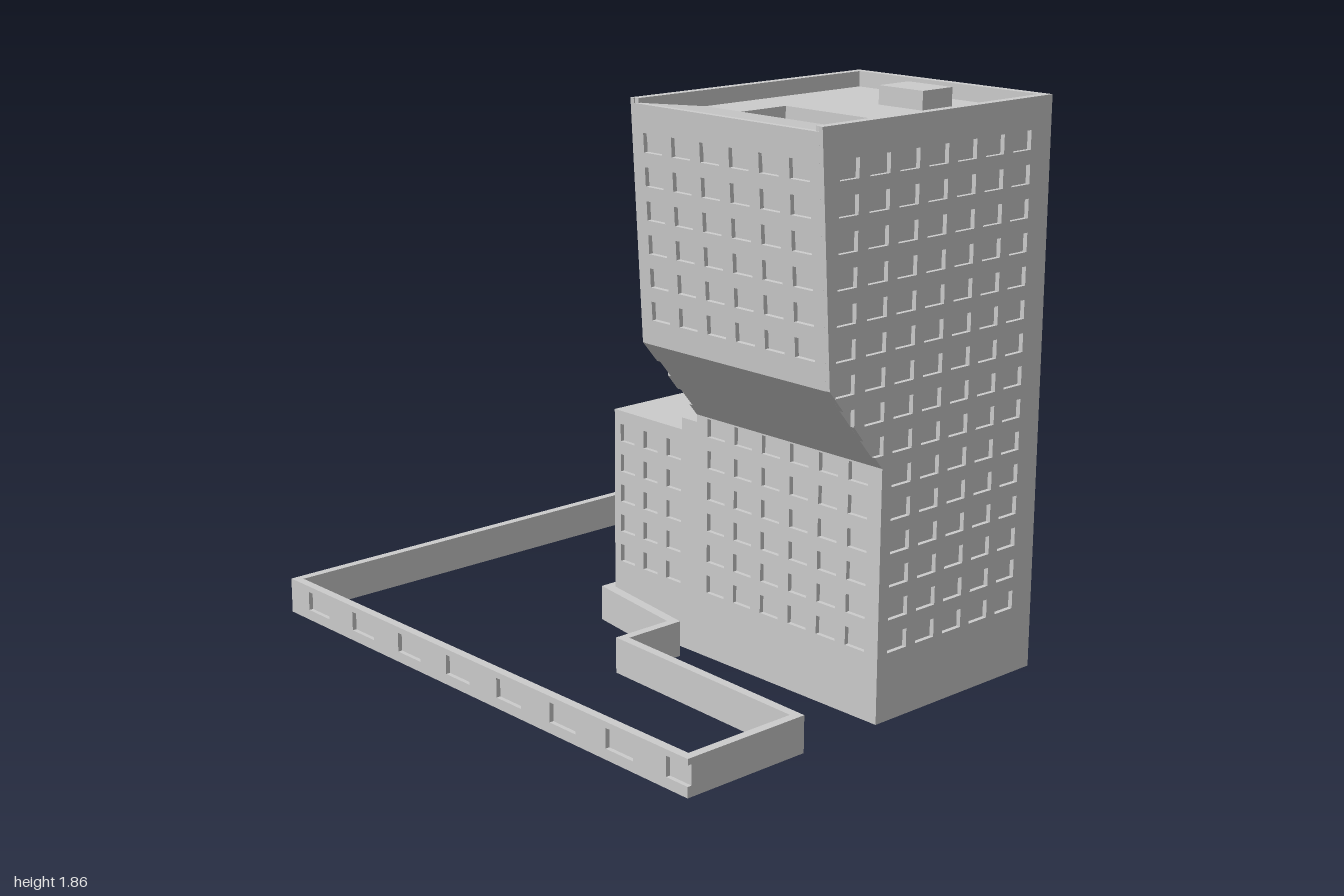
import * as THREE from 'three';

const T = 0.015; // facade thickness = window recess depth

export function createModel() {
  const model = new THREE.Group();
  const material = new THREE.MeshStandardMaterial({ color: 0xcccccc, flatShading: true });

  const add = (geometry, name, x = 0, y = 0, z = 0) => {
    const mesh = new THREE.Mesh(geometry, material);
    mesh.name = name;
    mesh.position.set(x, y, z);
    model.add(mesh);
    return mesh;
  };
  const box = (name, x0, x1, y0, y1, z0, z1) =>
    add(new THREE.BoxGeometry(x1 - x0, y1 - y0, z1 - z0), name, (x0 + x1) / 2, (y0 + y1) / 2, (z0 + z1) / 2);
  const toPoints = (pts) => pts.map(([x, y]) => new THREE.Vector2(x, y));
  const rect = (x0, x1, y0, y1) => [[x0, y0], [x1, y0], [x1, y1], [x0, y1]];
  const prism = (outline, depth, holes = []) => {
    const shape = new THREE.Shape(toPoints(outline));
    shape.holes = holes.map((h) => new THREE.Path(toPoints(h)));
    return new THREE.ExtrudeGeometry(shape, { depth, bevelEnabled: false });
  };
  // Grid of window openings
  const windows = (cols, rows, w, h = 0.06) =>
    rows.flatMap((y) => cols.map((x) => rect(x - w / 2, x + w / 2, y - h / 2, y + h / 2)));
  const series = (start, step, count) => Array.from({ length: count }, (_, i) => start + i * step);
  // Prism with its outline in the z-y plane, ending at x = right
  const sidePrism = (name, outline, depth, right, holes) => {
    const mesh = add(prism(outline, depth, holes), name, right);
    mesh.rotation.y = -Math.PI / 2;
    return mesh;
  };

  const rows = series(0.25, 0.105, 15);
  const towerCols = series(0.29, 0.123, 6);
  const sideCols = series(-0.615, 0.125, 5);

  // Tower core behind the facades, with the sloped underside of the overhang
  sidePrism('towerCore', [
    [-0.735, 0], [-0.045, 0], [-0.045, 0.81], [-0.03, 0.81], [0.2, 1.085],
    [0.185, 1.085], [0.227, 1.72], [-0.735, 1.72],
  ], 0.77, 0.985);

  // Side facades; two windows are cut open by the slope
  const sideOutline = [
    [-0.75, 0], [-0.03, 0], [-0.03, 0.81], [0.003, 0.85], [-0.033, 0.85], [-0.033, 0.91],
    [0.054, 0.91], [0.095, 0.96], [0.095, 1.015], [0.141, 1.015], [0.2, 1.085], [0.25, 1.85], [-0.75, 1.85],
  ];
  const sideWindows = (first) => [
    ...windows(sideCols, rows.slice(first), 0.084),
    ...windows([0.01], rows.slice(7), 0.084),
    ...windows([0.137], rows.slice(8), 0.08),
  ];
  sidePrism('towerLeftFacade', sideOutline, T, 1, sideWindows(0));
  sidePrism('towerRightFacade', sideOutline, T, 0.2 + T, sideWindows(6));

  // Front and back facades
  add(prism(rect(0.215, 0.985, 0, 0.81), T, windows(towerCols, rows.slice(0, 6), 0.08)),
    'towerLowerFrontFacade', 0, 0, -0.03 - T);
  const upper = add(prism(rect(0.215, 0.985, 0, 0.752), T,
    windows(towerCols, rows.slice(9).map((y) => y - 1.085), 0.08)),
  'towerUpperFrontFacade', 0, 1.085, 0.2 - T);
  upper.rotation.x = Math.atan2(0.05, 0.765);
  add(prism(rect(0.215, 0.985, 0, 1.85), T, windows(towerCols, rows, 0.08)), 'towerBackFacade', 0, 0, -0.75);

  // Roof with a sunken well, a gently rising front part and a parapet
  const roof = add(prism([
    [0.215, -0.735], [0.985, -0.735], [0.985, -0.03], [0.75, -0.03], [0.75, -0.22],
    [0.39, -0.22], [0.39, -0.03], [0.215, -0.03],
  ], 0.08), 'roofDeck', 0, 1.8, 0);
  roof.rotation.x = Math.PI / 2;
  sidePrism('roofFront', [[-0.03, 1.72], [0.228, 1.72], [0.235, 1.835], [-0.03, 1.8]], 0.77, 0.985);
  for (const x of [0.215, 0.97]) box('sideParapet', x, x + T, 1.79, 1.85, -0.735, 0.245);
  box('backParapet', 0.23, 0.97, 1.79, 1.85, -0.735, -0.72);
  box('roofHousing', 0.56, 0.74, 1.8, 1.86, -0.59, -0.455);

  // Low annex
  box('annexCore', -0.185, 0.2, 0, 0.745, -0.735, -0.045);
  const annexWindows = windows(series(-0.135, 0.113, 3), rows.slice(0, 5), 0.07);
  for (const [name, z] of [['annexFrontFacade', -0.03 - T], ['annexBackFacade', -0.75]]) {
    add(prism(rect(-0.185, 0.2, 0, 0.745), T, annexWindows), name, 0, 0, z);
  }
  sidePrism('annexSideFacade', rect(-0.75, -0.03, 0, 0.745), T, -0.185,
    windows(sideCols, rows.slice(0, 5), 0.084));
  box('annexRoofBox', 0.13, 0.2, 0.745, 0.785, -0.11, -0.03);

  // Entrance canopy on its post
  add(prism([[-0.26, 0.185], [-0.2, 0.185], [-0.2, 0.225], [-0.29, 0.225]], 0.21), 'canopy', 0, 0, -0.57);
  box('canopyPost', -0.24, -0.2, 0, 0.185, -0.57, -0.53);

  // Boundary wall ring
  const wall = add(prism([
    [-1, -0.75], [-0.2, -0.75], [-0.2, -0.03], [0.19, 0.03], [0.19, 0.25], [1, 0.28], [1, 0.73], [-1, 0.73],
  ], 0.12, [[
    [-0.97, -0.72], [-0.235, -0.72], [-0.235, 0], [0.16, 0.06], [0.16, 0.28], [0.97, 0.31],
    [0.97, 0.715], [-0.97, 0.715],
  ]]), 'boundaryWall', 0, 0.12, 0);
  wall.rotation.x = Math.PI / 2;
  // Front face of the wall: a row of recesses, the last open at the corner
  add(prism([[-1, 0], [1, 0], [1, 0.035], [0.91, 0.035], [0.91, 0.1], [1, 0.1], [1, 0.12], [-1, 0.12]],
    T, windows(series(-0.835, 0.257, 7), [0.0675], 0.12, 0.065)), 'boundaryWallFront', 0, 0, 0.73);

  return model;
}
